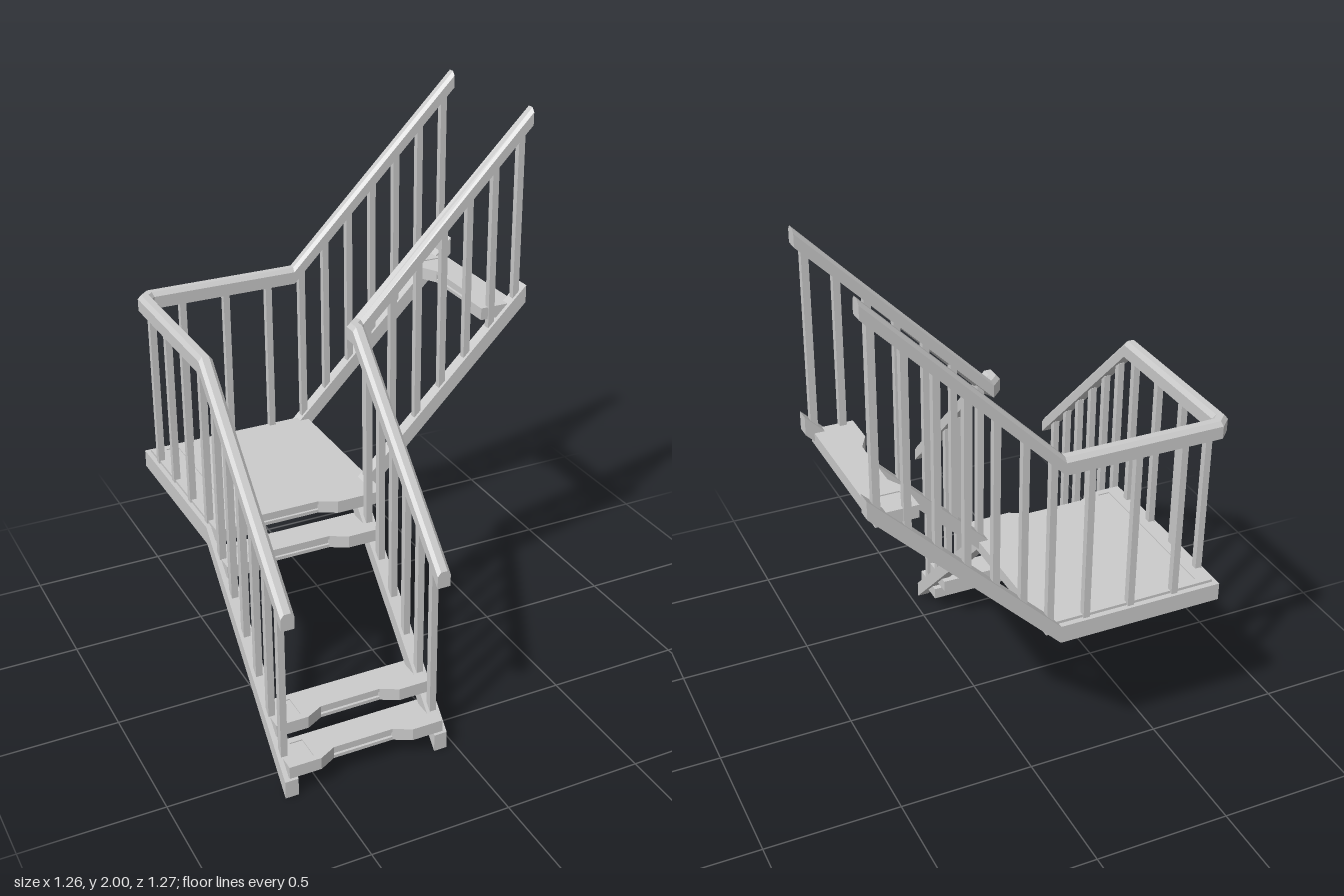
import * as THREE from 'three';

const material = new THREE.MeshStandardMaterial({ color: 0xcccccc, flatShading: true });
const LEFT = -0.055, RIGHT = -0.611, BACK = -0.611, INNER = -0.055; // rail centre lines
const MID = (LEFT + RIGHT) / 2;

function add(parent, geometry, name) {
  const mesh = new THREE.Mesh(geometry, material);
  mesh.name = name;
  parent.add(mesh);
  return mesh;
}

// Sweeps an upright [side, height] profile along [x, y, z] points with mitred, vertical joints
function sweep(path, profile) {
  const normals = path.slice(1).map((p, i) =>
    new THREE.Vector2(path[i][2] - p[2], p[0] - path[i][0]).normalize());
  const rings = path.map(([x, y, z], i) => {
    const a = normals[Math.max(i - 1, 0)], b = normals[Math.min(i, normals.length - 1)];
    const m = a.clone().add(b).divideScalar(1 + a.dot(b));
    return profile.map(([u, v]) => [x + m.x * u, y + v, z + m.y * u]);
  });
  const pos = [], n = profile.length;
  const tri = (a, b, c) => pos.push(...a, ...b, ...c);
  for (let i = 0; i < rings.length - 1; i++) {
    for (let k = 0; k < n; k++) {
      const a = rings[i][k], b = rings[i][(k + 1) % n];
      const c = rings[i + 1][(k + 1) % n], d = rings[i + 1][k];
      tri(a, d, c);
      tri(a, c, b);
    }
  }
  const last = rings[rings.length - 1];
  for (let k = 1; k < n - 1; k++) {
    tri(rings[0][0], rings[0][k], rings[0][k + 1]);
    tri(last[0], last[k + 1], last[k]);
  }
  const geometry = new THREE.BufferGeometry();
  geometry.setAttribute('position', new THREE.Float32BufferAttribute(pos, 3));
  geometry.computeVertexNormals();
  return geometry;
}

const railProfile = [[-0.024, -0.06], [0.024, -0.06], [0.024, -0.015], [0.012, 0], [-0.012, 0], [-0.024, -0.015]];
const beamProfile = [[-0.024, -0.065], [0.024, -0.065], [0.024, 0], [-0.024, 0]];

// Board with a scooped nosing facing +z, a slot in the nosing and inset grip pads on top
function makeBoard(name, x0, x1, depth) {
  const board = new THREE.Group();
  board.name = name;
  const layer = (y, height, slot, pads, part) => {
    const pts = [[x0, depth], [x1, depth], [x1, 0], [0.17, 0], [0.11, 0.033]];
    if (slot) pts.push([0.11, 0.043], [-0.11, 0.043]);
    pts.push([-0.11, 0.033], [-0.17, 0], [x0, 0]);
    const shape = new THREE.Shape(pts.map(([x, y]) => new THREE.Vector2(x, y)));
    if (pads) {
      for (const s of [-1, 1]) {
        shape.holes.push(new THREE.Path([[0.187, 0.025], [0.187, depth - 0.025], [0.233, depth - 0.025], [0.233, 0.025]]
          .map(([x, y]) => new THREE.Vector2(s * x, y))));
      }
    }
    const g = new THREE.ExtrudeGeometry(shape, { depth: height, bevelEnabled: false });
    add(board, g.rotateX(-Math.PI / 2).translate(0, y, 0), part);
  };
  layer(0, 0.012, false, false, 'boardUnderside');
  layer(0.012, 0.02, true, false, 'boardCore');
  layer(0.032, 0.009, false, false, 'boardTop');
  layer(0.041, 0.004, false, true, 'gripSurround');
  return board;
}

export function createModel() {
  const model = new THREE.Group();
  model.name = 'staircase';

  // Stringers, following both flights around the landing
  add(model, sweep([[RIGHT, 0.065, 0.635], [RIGHT, 0.7, 0], [RIGHT, 0.7, BACK], [-0.03, 0.7, BACK], [0.63, 1.355, BACK]],
    beamProfile), 'outerStringer');
  add(model, sweep([[LEFT, 0.065, 0.635], [LEFT, 0.7, 0], [LEFT, 0.7, INNER], [-0.03, 0.7, INNER], [0.63, 1.355, INNER]],
    beamProfile), 'innerStringer');

  // Handrails with clipped corners
  add(model, sweep([[RIGHT, 0.715, 0.635], [RIGHT, 1.34, 0.01], [RIGHT, 1.34, BACK + 0.026],
    [RIGHT + 0.026, 1.34, BACK], [-0.03, 1.34, BACK], [0.63, 2, BACK]], railProfile), 'outerHandrail');
  add(model, sweep([[LEFT, 0.715, 0.635], [LEFT, 1.34, 0.01], [LEFT, 1.34, INNER + 0.026],
    [LEFT + 0.026, 1.34, INNER], [0.63, 2, INNER]], railProfile), 'innerHandrail');

  // Balusters, reaching slightly into stringer and handrail
  const balusters = new THREE.Group();
  balusters.name = 'balusters';
  model.add(balusters);
  const baluster = (x, z, rise) => {
    const g = new THREE.BoxGeometry(0.024, 0.62, 0.024);
    add(balusters, g.translate(x, 0.99 + rise, z), 'baluster');
  };
  for (let i = 0; i < 6; i++) {
    const z = 0.565 - i * 0.098;
    baluster(RIGHT, z, -z);
    baluster(LEFT, z, -z);
  }
  for (let i = 0; i < 7; i++) {
    const x = 0.005 + i * 0.0983;
    baluster(x, BACK, x + 0.03);
    baluster(x, INNER, x + 0.03);
  }
  for (const z of [-0.035, -0.198, -0.361, -0.524]) baluster(RIGHT, z, 0);
  for (const x of [-0.465, -0.297, -0.13]) baluster(x, BACK, 0);

  // Landing platform
  const landing = makeBoard('landing', -0.285, 0.348, 0.67);
  landing.position.set(MID, 0.665, 0.055);
  model.add(landing);

  // Treads of the lower flight
  for (const [y, z] of [[0.075, 0.635], [0.175, 0.535], [0.57, 0.143]]) {
    const tread = makeBoard('lowerTread', -0.285, 0.285, 0.143);
    tread.position.set(MID, y, z);
    model.add(tread);
  }

  // Top tread of the upper flight
  const topTread = makeBoard('upperTread', -0.285, 0.285, 0.143);
  topTread.rotation.y = -Math.PI / 2;
  topTread.position.set(0.457, 1.245, MID);
  model.add(topTread);

  return model;
}
